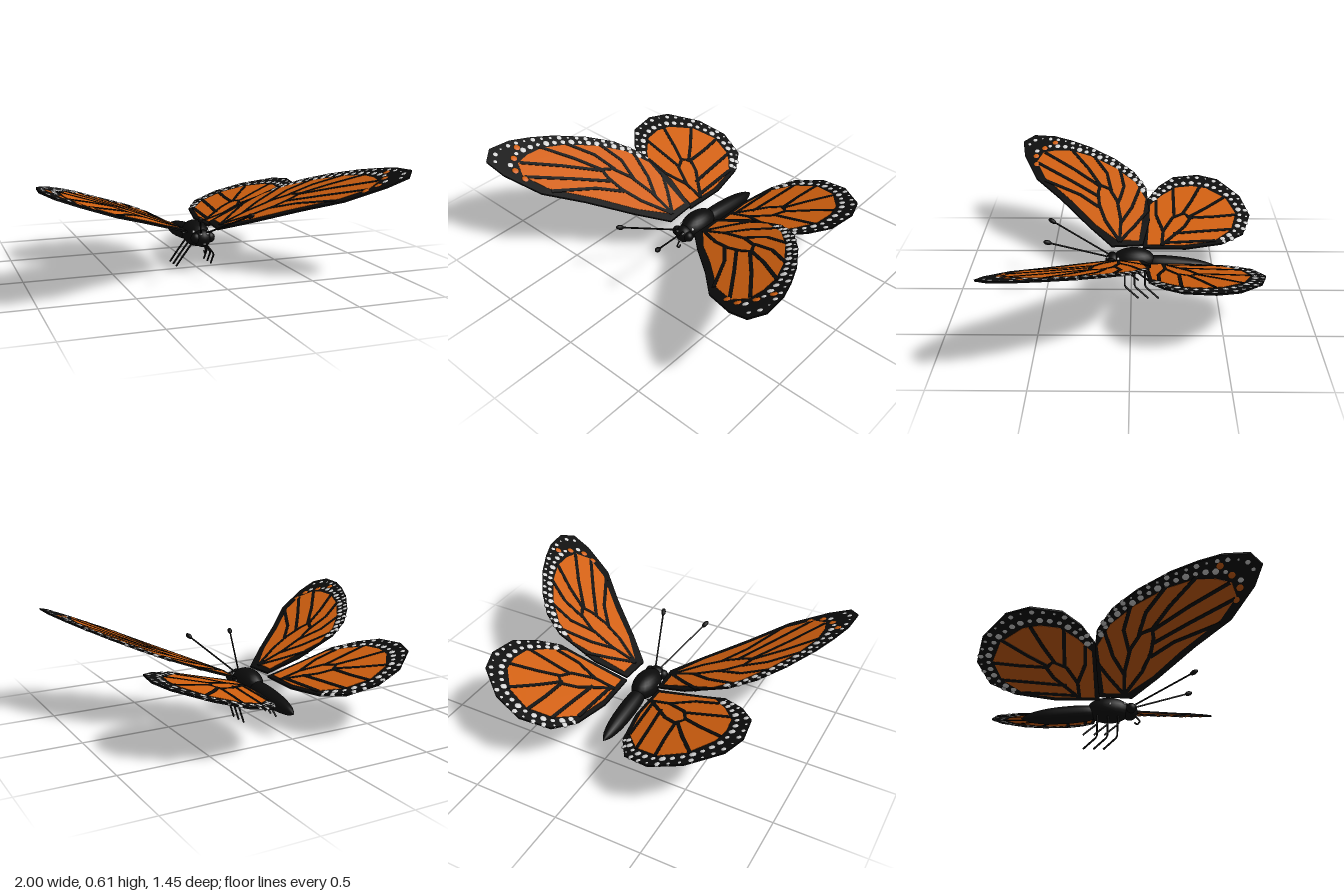
import * as THREE from 'three';
import { mergeGeometries } from 'three/addons/utils/BufferGeometryUtils.js';

const V = (x, y, z) => new THREE.Vector3(x, y, z);

// Wing data in plan, as [x, z] pairs for the +x side
const FORE = {
  name: 'forewing', y0: 0.243, slope: 0.402,
  inner: [[0.10, -0.067], [0.09, 0.115], [0.235, 0.254], [0.45, 0.44], [0.62, 0.607], [0.82, 0.70]],
  margin: [[0.94, 0.72], [1.0, 0.65], [0.99, 0.515], [0.95, 0.40], [0.89, 0.27], [0.786, 0.11], [0.674, -0.013], [0.54, -0.09]],
  close: [[0.29, -0.11]],
  cellInner: [[0.13, -0.045], [0.13, 0.085], [0.25, 0.22], [0.42, 0.36], [0.62, 0.55]],
  cellMargin: [[0.76, 0.615], [0.84, 0.58], [0.86, 0.5], [0.855, 0.39], [0.8, 0.25], [0.7, 0.1], [0.585, -0.02], [0.45, -0.085]],
  spots: 19,
  veins: [
    [[0.12, 0.07], [0.28, 0.065], [0.43, 0.09], [0.53, 0.14], [0.56, 0.2]],
    [[0.12, 0.07], [0.28, 0.16], [0.4, 0.2], [0.5, 0.21], [0.56, 0.2]],
    [[0.12, 0.07], [0.24, -0.02], [0.36, -0.1]],
    [[0.26, 0.065], [0.38, 0.0], [0.54, -0.05]],
    [[0.41, 0.085], [0.55, 0.05], [0.7, 0.08]],
    [[0.52, 0.13], [0.66, 0.16], [0.81, 0.25]],
    [[0.56, 0.2], [0.7, 0.28], [0.87, 0.4]],
    [[0.55, 0.2], [0.7, 0.38], [0.84, 0.57]],
    [[0.47, 0.21], [0.6, 0.39], [0.75, 0.61]],
    [[0.38, 0.2], [0.48, 0.32], [0.6, 0.55]],
  ],
  orangeSpots: [[0.93, 0.51], [0.88, 0.575], [0.81, 0.625], [0.74, 0.615]],
};
const HIND = {
  name: 'hindwing', y0: 0.223, slope: 0.284,
  inner: [[0.40, -0.09], [0.10, -0.067], [0.096, -0.32]],
  margin: [[0.14, -0.537], [0.225, -0.67], [0.39, -0.725], [0.567, -0.68], [0.73, -0.55], [0.775, -0.425], [0.75, -0.265], [0.66, -0.17], [0.53, -0.095]],
  close: [],
  cellInner: [[0.4, -0.11], [0.125, -0.095], [0.12, -0.3]],
  cellMargin: [[0.155, -0.49], [0.255, -0.6], [0.4, -0.64], [0.54, -0.59], [0.64, -0.47], [0.66, -0.38], [0.645, -0.28], [0.57, -0.19], [0.48, -0.115]],
  spots: 22,
  veins: [
    [[0.12, -0.18], [0.24, -0.19], [0.36, -0.25], [0.4, -0.32], [0.36, -0.36]],
    [[0.12, -0.18], [0.2, -0.25], [0.28, -0.32], [0.36, -0.36]],
    [[0.14, -0.2], [0.15, -0.35], [0.16, -0.5]],
    [[0.22, -0.25], [0.24, -0.42], [0.26, -0.61]],
    [[0.36, -0.36], [0.37, -0.5], [0.39, -0.65]],
    [[0.36, -0.34], [0.45, -0.46], [0.56, -0.59]],
    [[0.39, -0.31], [0.51, -0.37], [0.65, -0.43]],
    [[0.37, -0.26], [0.5, -0.26], [0.64, -0.26]],
    [[0.24, -0.19], [0.38, -0.15], [0.52, -0.15]],
  ],
  orangeSpots: [],
};

// Plan outline extruded to a thin plate
function plate(points, side, depth) {
  const shape = new THREE.Shape(points.map(([x, z]) => new THREE.Vector2(side * x, -z)));
  const g = new THREE.ExtrudeGeometry(shape, { depth, bevelEnabled: false });
  return g.translate(0, 0, -depth / 2).rotateX(-Math.PI / 2);
}

// Outline of a strip of constant width along a path
function strip(path, half) {
  const left = [], right = [];
  path.forEach(([x, z], i) => {
    const a = path[Math.max(i - 1, 0)], b = path[Math.min(i + 1, path.length - 1)];
    const dx = b[0] - a[0], dz = b[1] - a[1], k = half / Math.hypot(dx, dz);
    left.push([x - dz * k, z + dx * k]);
    right.unshift([x + dz * k, z - dx * k]);
  });
  return left.concat(right);
}

function spot(x, z, r, side) {
  return new THREE.IcosahedronGeometry(r, 1).scale(1, 0.5, 1).translate(side * x, 0, z);
}

function curveOf(points) {
  return new THREE.CatmullRomCurve3(points.map(([x, z]) => V(x, 0, z)));
}

function makeWing(w, side, mats) {
  const group = new THREE.Group();
  group.name = (side > 0 ? 'left ' : 'right ') + w.name;
  // Shear lifts each wing towards its tip
  const lift = new THREE.Matrix4().set(
    1, 0, 0, 0,
    side * w.slope, 1, 0, w.y0 - 0.1 * w.slope,
    0, 0, 1, 0,
    0, 0, 0, 1);
  const add = (geometry, material, name) => {
    const mesh = new THREE.Mesh(geometry.applyMatrix4(lift), material);
    mesh.name = name;
    group.add(mesh);
  };
  add(plate([...w.inner, ...w.margin, ...w.close], side, 0.010), mats.black, 'wing border');
  add(plate([...w.cellInner, ...w.cellMargin], side, 0.013), mats.orange, 'wing panel');
  add(mergeGeometries(w.veins.map(v => plate(strip(v, 0.010), side, 0.017))), mats.black, 'veins');

  // Two rows of spots between the margin and the panel
  const outer = curveOf(w.margin), inner = curveOf(w.cellMargin);
  const dots = [];
  [[0.25, 0.015, 0], [0.72, 0.019, 0.5]].forEach(([mix, r, shift]) => {
    for (let i = 0; i < w.spots - shift * 2; i++) {
      const t = (i + 0.5 + shift) / w.spots;
      const p = outer.getPointAt(t).lerp(inner.getPointAt(t), mix);
      if (w.orangeSpots.some(([x, z]) => Math.hypot(x - p.x, z - p.z) < 0.03)) continue;
      dots.push(spot(p.x, p.z, r + 0.003 * Math.sin(i * 2.3), side));
    }
  });
  add(mergeGeometries(dots), mats.white, 'pale spots');
  if (w.orangeSpots.length) {
    add(mergeGeometries(w.orangeSpots.map(([x, z]) => spot(x, z, 0.022, side))), mats.orange, 'tip spots');
  }
  return group;
}

export function createModel() {
  const model = new THREE.Group();
  model.name = 'butterfly';
  const mats = {
    black: new THREE.MeshStandardMaterial({ color: 0x0b0b0b }),
    orange: new THREE.MeshStandardMaterial({ color: 0xd2600f }),
    white: new THREE.MeshStandardMaterial({ color: 0xd4d4d4 }),
  };
  Object.entries(mats).forEach(([name, m]) => { m.name = name; });

  const add = (geometry, material, name) => {
    const mesh = new THREE.Mesh(geometry, material);
    mesh.name = name;
    model.add(mesh);
    return mesh;
  };
  const ball = (name, p, sx, sy, sz, material = mats.black) =>
    add(new THREE.SphereGeometry(1, 20, 14).scale(sx, sy, sz), material, name).position.copy(p);
  // Straight-jointed thin limb
  const limb = (name, points, r) => {
    const path = new THREE.CurvePath();
    for (let i = 1; i < points.length; i++) path.add(new THREE.LineCurve3(points[i - 1], points[i]));
    add(new THREE.TubeGeometry(path, (points.length - 1) * 6, r, 6), mats.black, name);
  };

  // Body
  ball('thorax', V(0, 0.2, -0.015), 0.074, 0.074, 0.125);
  ball('head', V(0, 0.193, 0.105), 0.05, 0.05, 0.046);
  const profile = [[0, 0], [0.03, 0.01], [0.046, 0.06], [0.05, 0.16], [0.045, 0.28], [0.03, 0.37], [0.015, 0.41], [0, 0.435]];
  const abdomen = add(new THREE.LatheGeometry(
    new THREE.SplineCurve(profile.map(([r, l]) => new THREE.Vector2(Math.max(r, 0), l))).getPoints(28)
      .map(p => p.setX(Math.max(p.x, 0))), 20), mats.black, 'abdomen');
  abdomen.rotation.x = -Math.PI / 2 - 0.1;
  abdomen.position.set(0, 0.187, -0.08);

  // Coiled feeding tube
  limb('proboscis', [V(0, 0.165, 0.14), V(0, 0.135, 0.164), V(0, 0.115, 0.148), V(0, 0.127, 0.132)], 0.005);
  ball('chin spot', V(0, 0.168, 0.143), 0.009, 0.006, 0.006, mats.white);

  for (const side of [1, -1]) {
    ball('eye', V(side * 0.043, 0.198, 0.112), 0.028, 0.03, 0.028);
    ball('head spot', V(side * 0.02, 0.224, 0.138), 0.009, 0.006, 0.007, mats.white);
    ball('neck spot', V(side * 0.042, 0.227, 0.075), 0.008, 0.008, 0.008, mats.white);
    ball('thorax spot', V(side * 0.072, 0.21, -0.008), 0.007, 0.007, 0.007, mats.white);

    // Antenna with clubbed tip
    const base = V(side * 0.015, 0.225, 0.125), tip = V(side * 0.142, 0.38, 0.465);
    limb('antenna', [base, tip], 0.005);
    const club = add(new THREE.SphereGeometry(0.014, 12, 8).scale(1, 1.8, 1), mats.black, 'antenna club');
    club.position.copy(tip);
    club.quaternion.setFromUnitVectors(V(0, 1, 0), tip.clone().sub(base).normalize());

    // Three legs per side
    for (const z of [0.037, -0.02, -0.08]) {
      limb('leg', [V(side * 0.04, 0.15, z), V(side * 0.096, 0.077, z), V(side * 0.107, 0.004, z - 0.08)], 0.0055);
    }

    model.add(makeWing(FORE, side, mats), makeWing(HIND, side, mats));
  }
  return model;
}
